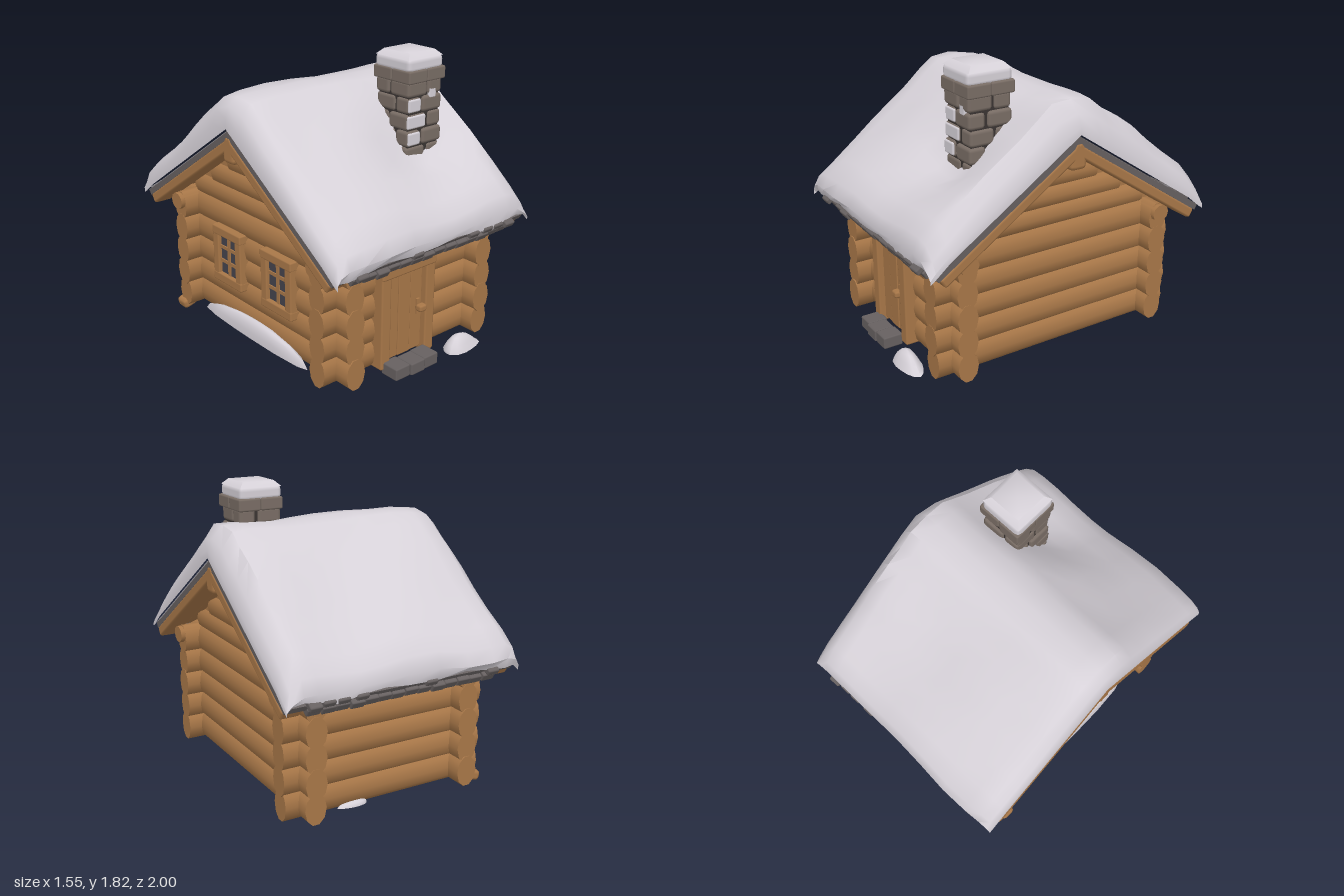
import * as THREE from 'three';
import { toCreasedNormals } from 'three/addons/utils/BufferGeometryUtils.js';
import { RoundedBoxGeometry } from 'three/addons/geometries/RoundedBoxGeometry.js';

export function createModel() {
  const model = new THREE.Group();
  model.name = 'logCabin';
  const mat = (name, color) => {
    const m = new THREE.MeshStandardMaterial({ color });
    m.name = name;
    return m;
  };
  const wood = mat('wood', 0xa87748);
  const snow = mat('snow', 0xd6d1d8);
  const stone = mat('stone', 0x796d65);
  const slate = mat('slate', 0x666060);
  const mortar = mat('mortar', 0x3a3432);
  const glass = mat('window glass', 0x44434c);

  let seed = 7;
  const rand = () => (seed = (seed * 16807) % 2147483647) / 2147483647;
  const vary = a => (rand() - 0.5) * 2 * a;

  const add = (name, geo, material, x = 0, y = 0, z = 0, parent = model) => {
    const mesh = new THREE.Mesh(geo, material);
    mesh.name = name;
    mesh.position.set(x, y, z);
    parent.add(mesh);
    return mesh;
  };
  const box = (name, w, h, d, material, x, y, z, parent) =>
    add(name, new THREE.BoxGeometry(w, h, d), material, x, y, z, parent);
  const block = (name, w, h, d, r, material, x, y, z, parent) =>
    add(name, new RoundedBoxGeometry(w, h, d, 1, r), material, x, y, z, parent);

  // Oval log lying along x or z
  const log = (name, axis, len, ry, rw, x, y, z) => {
    const g = new THREE.CylinderGeometry(1, 1, len, 10, 1);
    g.rotateZ(Math.PI / 2);
    g.scale(1, ry, rw);
    if (axis === 'z') g.rotateY(Math.PI / 2);
    return add(name, toCreasedNormals(g, 0.9), wood, x, y, z);
  };

  // Four crossing log walls
  for (let i = 0; i < 5; i++) {
    const y = 0.135 + i * 0.155;
    for (const s of [-1, 1]) {
      log('longWallLog', 'x', 1.36 + vary(0.01), 0.098, 0.068, 0, y, s * 0.69);
      log('gableWallLog', 'z', 1.69 + vary(0.02), 0.1, 0.07, s * 0.525, y, 0);
    }
  }
  // Gable logs shortening under the roof, backed by a triangular board
  const tri = new THREE.Shape();
  tri.moveTo(-0.7, 0.75);
  tri.lineTo(0.7, 0.75);
  tri.lineTo(0.7, 0.89);
  tri.lineTo(0, 1.35);
  tri.lineTo(-0.7, 0.89);
  for (const s of [-1, 1]) {
    const g = new THREE.ExtrudeGeometry(tri, { depth: 0.06, bevelEnabled: false });
    g.translate(0, 0, -0.03);
    g.rotateY(Math.PI / 2);
    add('gableBoard', g, wood, s * 0.525);
    for (let y = 0.9; y < 1.28; y += 0.12)
      log('gableLog', 'z', 2 * ((1.34 - y) / 0.66 - 0.025), 0.08, 0.065, s * 0.525, y, 0);
    log('wallPlate', 'x', 1.42, 0.055, 0.06, 0, 0.79, s * 0.69);
  }
  block('ridgeBeam', 1.54, 0.15, 0.115, 0.03, wood, 0, 1.305, 0);

  // Two roof slopes: boards, rake beams, slate layer and eave tiles
  const pitch = Math.atan(0.66);
  for (const s of [-1, 1]) {
    const slope = new THREE.Group();
    slope.name = s > 0 ? 'frontRoofSlope' : 'backRoofSlope';
    slope.position.y = 1.44;
    slope.rotation.x = s * pitch;
    model.add(slope);
    box('slateLayer', 1.53, 0.04, 1.13, slate, 0, -0.024, s * 0.565, slope);
    box('roofBoards', 1.4, 0.03, 1.08, wood, 0, -0.058, s * 0.54, slope);
    for (const e of [-1, 1])
      block('rakeBeam', 0.13, 0.066, 1.11, 0.015, wood, e * 0.705, -0.074, s * 0.565, slope);
    for (let i = 0; i < 14; i++)
      block('eaveTile', 0.088, 0.052, 0.14, 0.008, slate, -0.585 + i * 0.09, -0.056 + vary(0.005),
        s * (1.085 + vary(0.01)), slope);
    for (const [x, out] of [[-0.59, 0.015], [-0.16, 0], [0.3, 0], [0.42, 0], [0.51, 0], [0.6, 0.015]])
      block('raisedEaveTile', 0.08, 0.04, 0.14, 0.01, slate, x, 0.005, s * (1.09 + out), slope);
  }

  // Snow blanket: cross-sections lofted along x
  const profile = [[1.0, 0.1], [0.965, 0.165], [0.85, 0.18], [0.7, 0.2], [0.57, 0.22], [0.45, 0.24],
    [0.33, 0.25], [0.22, 0.26], [0.13, 0.27], [0, 0.195]];
  const full = [...profile, ...profile.slice(0, -1).reverse().map(([z, t]) => [-z, t])];
  const stations = [[-0.775, 0], [-0.775, 0.3], [-0.75, 0.65], [-0.69, 0.88], [-0.58, 0.94], [-0.4, 0.98], [-0.2, 1],
    [0, 0.95], [0.15, 0.92], [0.3, 0.9], [0.45, 0.94], [0.58, 0.98], [0.67, 0.97], [0.74, 0.6], [0.775, 0.25], [0.775, 0]];
  const base = z => 1.445 - 0.66 * Math.abs(z);
  const pts = [], idx = [];
  for (const [x, w] of stations) {
    const wave = 0.018 * Math.sin(x * 11) + 0.01 * Math.sin(x * 23);
    const reach = 0.975 + 0.025 * Math.exp(-(((x + 0.45) / 0.3) ** 2));
    for (const [z, t] of full) {
      const dip = z > 0 ? 0.12 * Math.exp(-(((x - 0.25) / 0.3) ** 2) - (((z - 0.52) / 0.16) ** 2)) : 0;
      const lump = 0.014 * Math.sin(x * 7 + z * 5) + 0.01 * Math.sin(z * 13 - x * 9);
      const zEdge = Math.abs(z) > 0.95 ? z * reach : z;
      pts.push(x, base(z) + w * (t - dip + lump * (Math.abs(z) > 0.2 ? 1 : 0.4)), zEdge);
    }
    for (const z of [-0.965, -0.6, 0, 0.6, 0.965])
      pts.push(x, base(z) + (Math.abs(z) > 0.9 && w > 0.4 ? 0.015 + wave : -0.015), z);
  }
  const n = full.length + 5;
  for (let i = 0; i < stations.length - 1; i++)
    for (let j = 0; j < n; j++) {
      const k = (j + 1) % n, a = i * n + j, b = a + n, c = (i + 1) * n + k, d = i * n + k;
      idx.push(a, b, c, a, c, d);
    }
  const blanket = new THREE.BufferGeometry();
  blanket.setAttribute('position', new THREE.Float32BufferAttribute(pts, 3));
  blanket.setIndex(idx);
  add('roofSnow', toCreasedNormals(blanket, 0.8), snow);

  // Chimney: mortar core, stones in staggered rows, cap and snow
  const chimney = new THREE.Group();
  chimney.name = 'chimney';
  chimney.position.set(0.305, 0, 0.383);
  model.add(chimney);
  box('chimneyCore', 0.25, 0.6, 0.25, mortar, 0, 1.36, 0, chimney);
  const half = 0.14;
  for (let r = 0; r < 6; r++) {
    const y = 1.11 + r * 0.101, split = (r % 2 ? 1 : -1) * 0.025;
    for (const sx of [-1, 1])
      for (const sz of [-1, 1]) {
        const w = half - sx * split - 0.003, d = half + sz * split - 0.003;
        const px = sx * (half - w / 2) + vary(0.006), pz = sz * (half - d / 2) + vary(0.006);
        block('chimneyStone', w, 0.099, d, 0.022, stone, px, y, pz, chimney);
        // Snow caught on the front left stones
        if (sx < 0 && sz > 0 && r > 1 && r < 5)
          block('stoneSnow', w - 0.012, 0.08, 0.03, 0.012, snow, px, y, pz + d / 2 - 0.01, chimney);
      }
  }
  block('stoneSnow', 0.06, 0.07, 0.03, 0.012, snow, 0.06, 1.575, 0.13, chimney);
  for (const sx of [-1, 1])
    for (const sz of [-1, 1])
      block('capStone', 0.152, 0.08, 0.157, 0.012, stone, sx * 0.076, 1.69, sz * 0.078, chimney);
  const cap = new THREE.CylinderGeometry(0.15, 0.2, 0.035, 4, 1);
  cap.rotateY(Math.PI / 4);
  block('chimneySnow', 0.29, 0.09, 0.3, 0.03, snow, -0.005, 1.757, 0, chimney);
  add('chimneySnowTop', toCreasedNormals(cap, 0.9), snow, -0.005, 1.81, 0, chimney);

  // Door with frame, planks and handle
  for (const x of [-0.255, 0.105]) block('doorPost', 0.075, 0.62, 0.1, 0.012, wood, x, 0.36, 0.765);
  block('doorLintel', 0.44, 0.075, 0.11, 0.012, wood, -0.0725, 0.665, 0.765);
  for (let i = 0; i < 3; i++)
    block('doorPlank', 0.097, 0.55, 0.05, 0.006, wood, -0.172 + i * 0.097, 0.355, 0.75 + (i % 2) * 0.004);
  box('handlePlate', 0.026, 0.1, 0.012, wood, 0.028, 0.365, 0.785);
  block('handleKnob', 0.06, 0.045, 0.05, 0.015, wood, 0.032, 0.365, 0.812);

  // Stone doorstep
  for (let i = 0; i < 3; i++)
    block('doorstep', 0.115, 0.078, 0.13, 0.01, slate, -0.215 + i * 0.113, 0.062, 0.865 + vary(0.008));

  // Two windows on the right-hand gable
  for (const z of [-0.26, 0.245]) {
    const win = new THREE.Group();
    win.name = 'window';
    win.position.set(-0.59, 0.51, z);
    model.add(win);
    box('pane', 0.03, 0.31, 0.23, glass, 0, 0, 0, win);
    for (const s of [-1, 1]) {
      block('windowPost', 0.08, 0.37, 0.06, 0.01, wood, 0, 0, s * 0.118, win);
      block('windowRail', 0.085, 0.06, 0.3, 0.01, wood, 0, s * 0.16, 0, win);
    }
    box('mullion', 0.045, 0.3, 0.026, wood, 0, 0, 0, win);
    for (const y of [-0.045, 0.05]) box('glazingBar', 0.045, 0.022, 0.2, wood, 0, y, 0, win);
  }

  // Snow drifts against the base: open domes, more pointed with a higher peak value
  const drift = (x, y, z, w, h, d, peak) => {
    const g = new THREE.SphereGeometry(1, 14, 4, 0, Math.PI * 2, 0, Math.PI / 2);
    const p = g.attributes.position;
    for (let i = 0; i < p.count; i++) {
      const k = 1 + 0.08 * Math.sin(3 * Math.atan2(p.getZ(i), p.getX(i)) + 1);
      p.setXYZ(i, p.getX(i) * k - 0.15 * p.getY(i), p.getY(i) ** peak, p.getZ(i) * k);
    }
    g.scale(w / 2, h, d / 2);
    add('snowDrift', toCreasedNormals(g, 0.8), snow, x, y, z);
  };
  drift(0.315, 0.03, 0.89, 0.28, 0.1, 0.15, 2.2);
  drift(-0.595, 0.045, 0.0, 0.1, 0.12, 1.05, 1);
  drift(0.22, 0.045, -0.74, 0.2, 0.03, 0.06, 1);

  // Sagging foot of the back corner log
  const foot = block('cornerFoot', 0.11, 0.07, 0.1, 0.025, wood, -0.645, 0.045, -0.73);
  foot.rotation.z = 0.3;
  return model;
}
